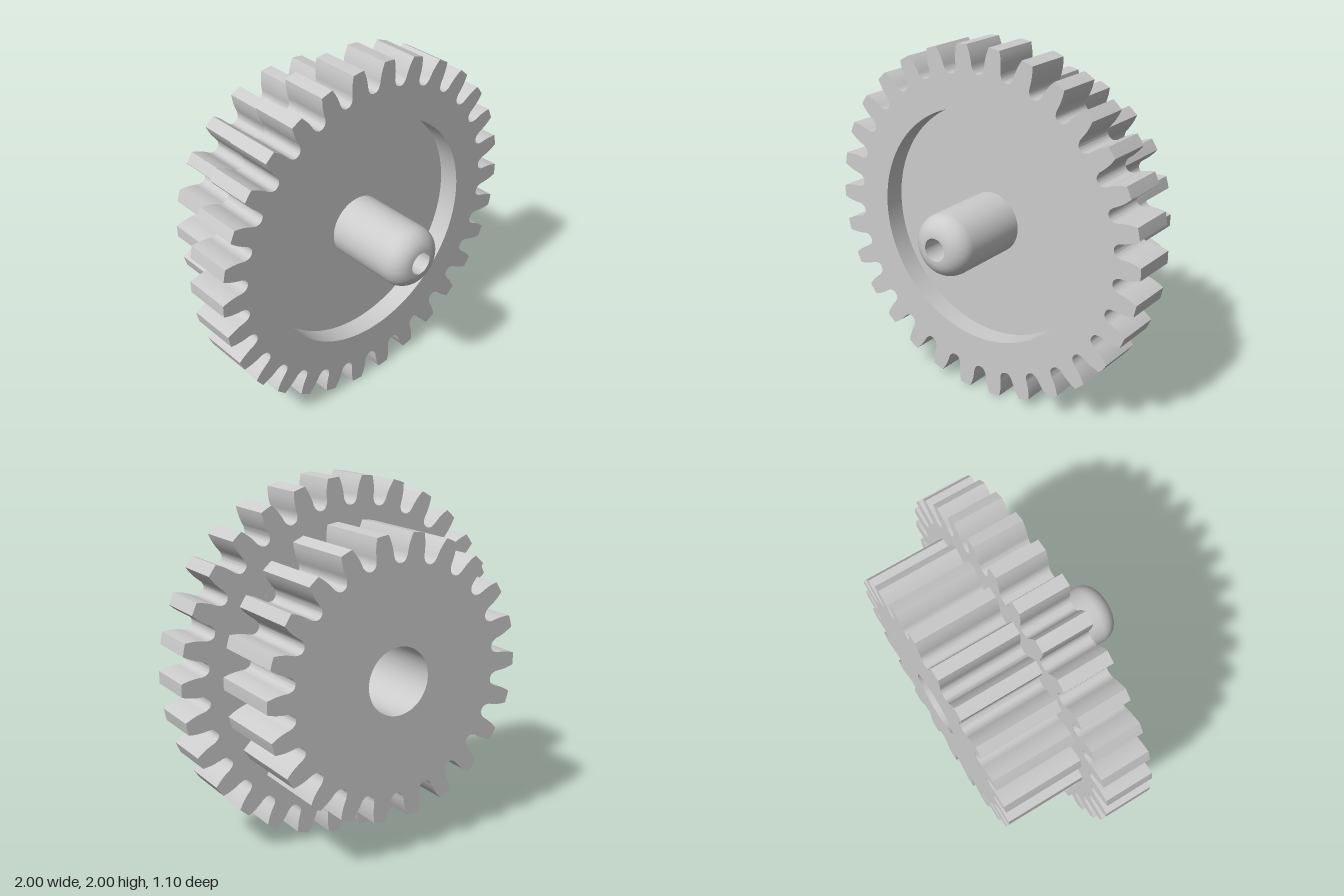
import * as THREE from 'three';
import { toCreasedNormals } from 'three/addons/utils/BufferGeometryUtils.js';

const SEGMENTS = 96;
const BORE = 0.185, RECESS = 0.665, HUB = 0.172, PIN_HOLE = 0.064;
const BACK = -0.55, STEP = -0.095, FLOOR = 0.06, FRONT = 0.18, NOSE = 0.55;

// Half of one tooth: x = depth below the tip, y = half width.
const flank = new THREE.SplineCurve([
  [0, 0.034], [0.03, 0.043], [0.06, 0.049], [0.09, 0.052],
  [0.115, 0.053], [0.136, 0.06], [0.148, 0.071], [0.152, 0.084],
].map(([d, w]) => new THREE.Vector2(d, w))).getPoints(16);

// Toothed disc with a round hole, extruded along z.
function gearGeometry(teeth, radius, hole, z0, z1) {
  const points = [];
  const add = (r, a) => points.push(new THREE.Vector2(r * Math.cos(a), r * Math.sin(a)));
  for (let i = 0; i < teeth; i++) {
    const a = (i / teeth) * Math.PI * 2;
    for (const p of [...flank].reverse()) add(radius - p.x, a - p.y / (radius - p.x));
    add(radius, a);
    for (const p of flank) add(radius - p.x, a + p.y / (radius - p.x));
  }
  const shape = new THREE.Shape(points);
  shape.holes.push(new THREE.Path().absarc(0, 0, hole, 0, Math.PI * 2, true));
  const geometry = new THREE.ExtrudeGeometry(shape, {
    depth: z1 - z0, bevelEnabled: false, curveSegments: SEGMENTS,
  });
  geometry.translate(0, 0, z0);
  return toCreasedNormals(geometry, 0.6);
}

// Recess floor, round-nosed hub, pin hole and the end of the rear bore.
function hubGeometry() {
  const profile = [[BORE, STEP], [RECESS, STEP], [RECESS, FLOOR], [HUB, FLOOR]];
  const fillet = HUB - PIN_HOLE;
  for (let i = 0; i <= 10; i++) {
    const a = (i / 10) * Math.PI / 2;
    profile.push([PIN_HOLE + fillet * Math.cos(a), NOSE - fillet + fillet * Math.sin(a)]);
  }
  profile.push([PIN_HOLE, -0.06], [BORE, -0.06], [BORE, STEP]);
  const geometry = new THREE.LatheGeometry(
    profile.map(([r, z]) => new THREE.Vector2(r, z)), SEGMENTS);
  geometry.rotateX(Math.PI / 2);
  return toCreasedNormals(geometry, 0.6);
}

export function createModel() {
  const group = new THREE.Group();
  group.name = 'compoundGear';
  const material = new THREE.MeshStandardMaterial({ color: 0xcccccc });
  const addPart = (name, geometry) => {
    const mesh = new THREE.Mesh(geometry, material);
    mesh.name = name;
    mesh.position.y = 1;
    group.add(mesh);
  };
  addPart('largeGear', gearGeometry(30, 1, RECESS, STEP, FRONT));
  addPart('smallGear', gearGeometry(22, 0.768, BORE, BACK, STEP));
  addPart('hub', hubGeometry());
  return group;
}
